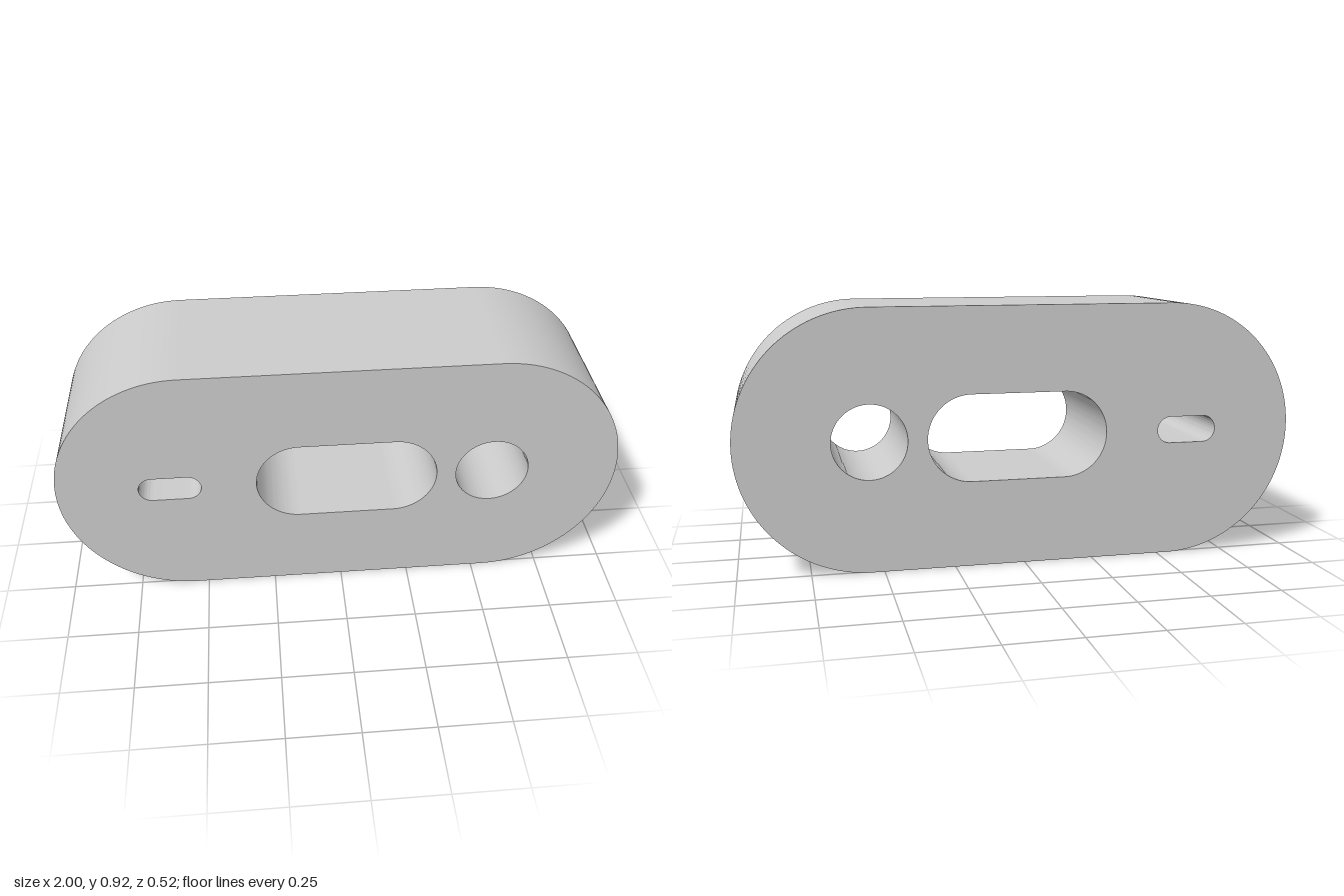
import * as THREE from 'three';
import { toCreasedNormals } from 'three/addons/utils/BufferGeometryUtils.js';

const HEIGHT = 0.917, DEPTH = 0.52, MID = HEIGHT / 2;

// Rounded slot centred on (cx, MID); a circle when halfLength equals radius
function traceSlot(path, cx, halfLength, radius) {
  const d = halfLength - radius;
  path.absarc(cx + d, MID, radius, -Math.PI / 2, Math.PI / 2, false);
  path.absarc(cx - d, MID, radius, Math.PI / 2, Math.PI * 1.5, false);
  path.closePath();
  return path;
}

export function createModel() {
  const group = new THREE.Group();
  group.name = 'slottedLink';

  // Outer body with three through openings
  const outline = traceSlot(new THREE.Shape(), 0, 1, MID);
  const openings = [
    [-0.605, 0.11, 0.048], // small slot
    [0.021, 0.322, 0.154], // large slot
    [0.543, 0.131, 0.131], // round hole
  ];
  for (const o of openings) outline.holes.push(traceSlot(new THREE.Path(), ...o));

  const solid = new THREE.ExtrudeGeometry(outline, { depth: DEPTH, bevelEnabled: false, curveSegments: 32 });
  solid.translate(0, 0, -DEPTH / 2);

  const body = new THREE.Mesh(
    toCreasedNormals(solid, Math.PI / 6),
    new THREE.MeshStandardMaterial({ color: 0xcccccc })
  );
  body.name = 'linkBody';
  group.add(body);
  return group;
}
